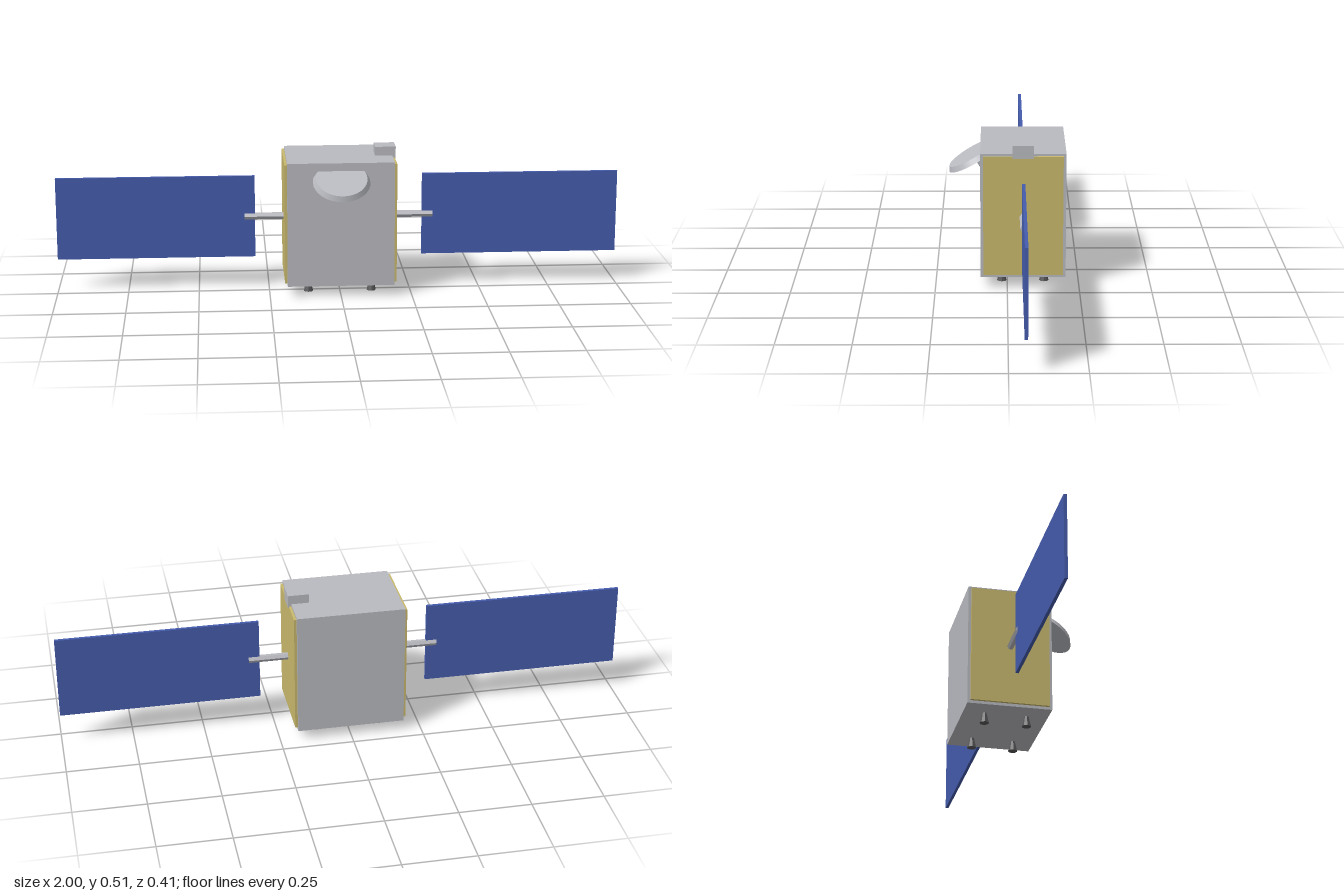
import * as THREE from 'three';

const material = (name, color, flatShading = false) => {
  const m = new THREE.MeshStandardMaterial({ color });
  m.name = name;
  m.flatShading = flatShading;
  return m;
};

export function createModel() {
  const grey = material('hullGrey', 0xb9bac0);
  const gold = material('goldFoil', 0xc9b96d);
  const blue = material('solarBlue', 0x455cad);
  const dark = material('nozzleGrey', 0x58585a);

  const model = new THREE.Group();
  model.name = 'satellite';
  const add = (name, geometry, mat, x, y, z, parent = model) => {
    const mesh = new THREE.Mesh(geometry, mat);
    mesh.name = name;
    mesh.position.set(x, y, z);
    parent.add(mesh);
    return mesh;
  };
  // Faceted prism or cone with sharp facets
  const faceted = (top, bottom, height, sides) => {
    const g = new THREE.CylinderGeometry(top, bottom, height, sides).toNonIndexed();
    g.computeVertexNormals();
    return g;
  };

  // Main hull
  add('hull', new THREE.BoxGeometry(0.376, 0.443, 0.296), grey, 0, 0.2585, -0.055);

  // Foil side panels, arms and solar wings, mirrored
  for (const [side, s] of [['left', 1], ['right', -1]]) {
    add(side + 'FoilPanel', new THREE.BoxGeometry(0.02, 0.425, 0.276), gold, s * 0.187, 0.2595, -0.055);
    const arm = add(side + 'Arm', faceted(0.0125, 0.0125, 0.16, 6), grey, s * 0.256, 0.2585, -0.055);
    arm.rotation.z = Math.PI / 2;
    add(side + 'SolarWing', new THREE.BoxGeometry(0.702, 0.295, 0.011), blue, s * 0.649, 0.2585, -0.055);
  }

  // Sensor box on the top edge
  add('sensorBox', new THREE.BoxGeometry(0.073, 0.046, 0.073), grey, 0.1635, 0.489, -0.055);

  // Tilted dish on its mast, partly sunk into the front of the hull
  const dish = new THREE.Group();
  dish.name = 'dish';
  dish.position.set(0, 0.418, 0.117);
  dish.rotation.x = Math.PI / 6;
  model.add(dish);
  add('dishPlate', new THREE.CylinderGeometry(0.089, 0.1, 0.0175, 32), grey, 0, 0.00875, 0, dish);
  add('dishMast', faceted(0.0095, 0.0095, 0.08, 8), grey, 0, -0.038, -0.01, dish);

  // Four thruster nozzles under the hull
  for (const x of [-0.112, 0.112]) {
    for (const z of [0.019, -0.129]) {
      add('thrusterNozzle', faceted(0.008, 0.0165, 0.038, 8), dark, x, 0.019, z);
    }
  }
  return model;
}
